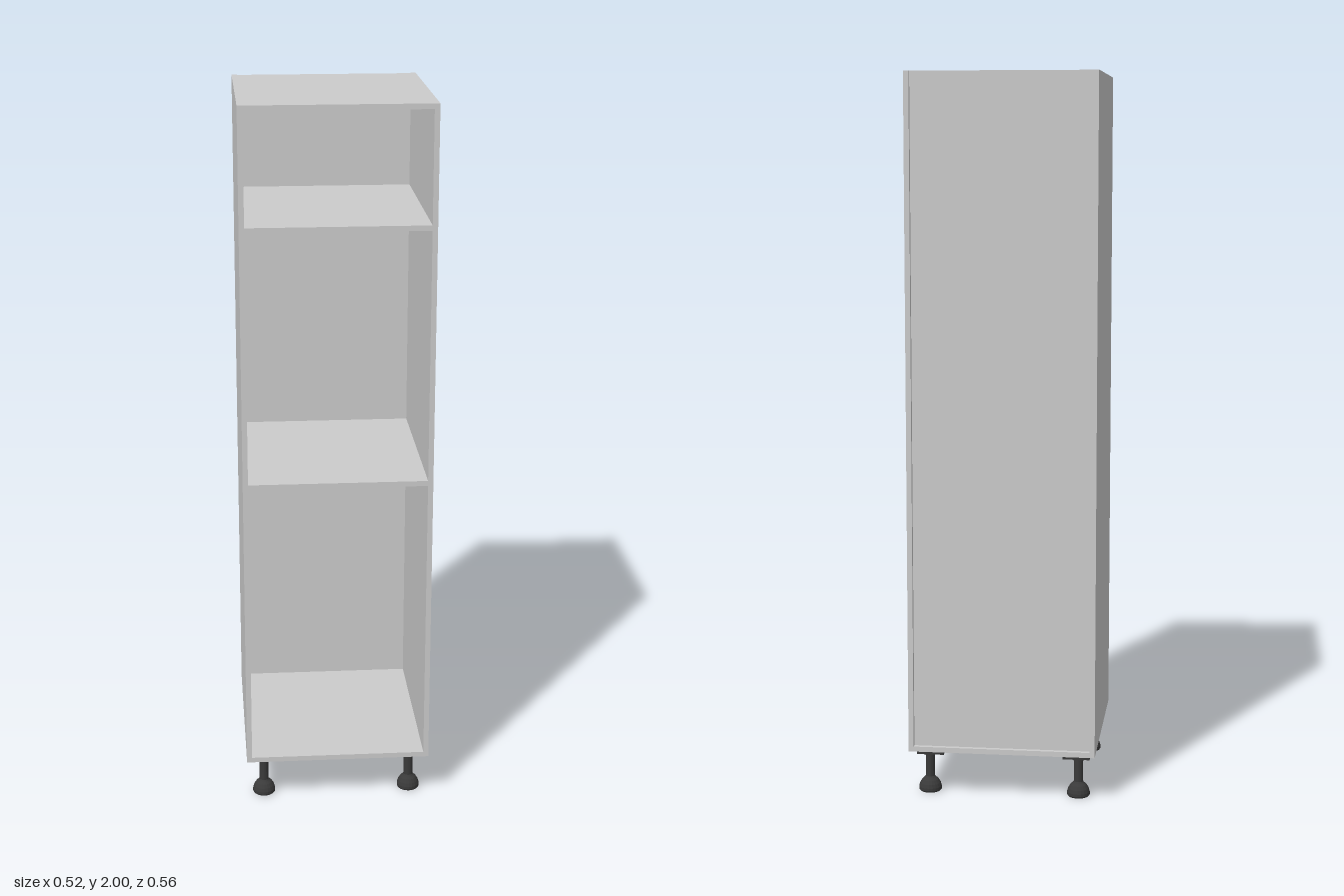
import * as THREE from 'three';

const W = 0.52, D = 0.56, BASE = 0.132, TOP = 2, T = 0.0145, GAP = 0.013;

export function createModel() {
  const group = new THREE.Group();
  const board = new THREE.MeshStandardMaterial({ color: 0xcccccc });
  const plastic = new THREE.MeshStandardMaterial({ color: 0x3a3a3a });

  // Box given by its minimum and maximum corners
  function box(name, [x0, y0, z0], [x1, y1, z1], material = board, parent = group) {
    const mesh = new THREE.Mesh(new THREE.BoxGeometry(x1 - x0, y1 - y0, z1 - z0), material);
    mesh.position.set((x0 + x1) / 2, (y0 + y1) / 2, (z0 + z1) / 2);
    mesh.name = name;
    parent.add(mesh);
  }

  // Carcass: sides and bottom run full depth, the rest stops at the recessed back
  const inner = W / 2 - T, front = D / 2, rear = -D / 2, recess = rear + GAP, backInner = recess + 0.004;
  box('leftSide', [inner, BASE, rear], [W / 2, TOP, front]);
  box('rightSide', [-W / 2, BASE, rear], [-inner, TOP, front]);
  box('bottomPanel', [-inner, BASE, rear], [inner, BASE + T, front]);
  box('topPanel', [-inner, TOP - T, recess], [inner, TOP, front]);
  box('backPanel', [-inner, BASE + T, recess], [inner, TOP - T, backInner]);
  box('lowerShelf', [-inner, 0.96, backInner], [inner, 0.96 + T, front]);
  box('upperShelf', [-inner, 1.669, backInner], [inner, 1.669 + T, front]);

  // Adjustable feet: mounting plate, collar, stem and domed foot
  const profile = [
    [0, 0], [0.029, 0], [0.032, 0.004], [0.032, 0.012], [0.029, 0.022],
    [0.023, 0.032], [0.016, 0.038], [0.013, 0.042], [0.013, 0.104],
    [0.02, 0.106], [0.02, 0.114], [0, 0.114],
  ].map(([r, y]) => new THREE.Vector2(r, y));
  const footGeometry = new THREE.LatheGeometry(profile, 20).toNonIndexed();
  footGeometry.computeVertexNormals();

  for (const sx of [-1, 1]) {
    for (const sz of [-1, 1]) {
      const leg = new THREE.Group();
      leg.name = (sz > 0 ? 'front' : 'back') + (sx > 0 ? 'Left' : 'Right') + 'Leg';
      leg.position.set(sx * 0.21, 0, sz * 0.21);
      const foot = new THREE.Mesh(footGeometry, plastic);
      foot.name = 'foot';
      leg.add(foot);
      const cx = -sx * 0.005;
      box('mountingPlate', [cx - 0.038, 0.113, -0.032], [cx + 0.038, BASE, 0.032], plastic, leg);
      group.add(leg);
    }
  }
  return group;
}
